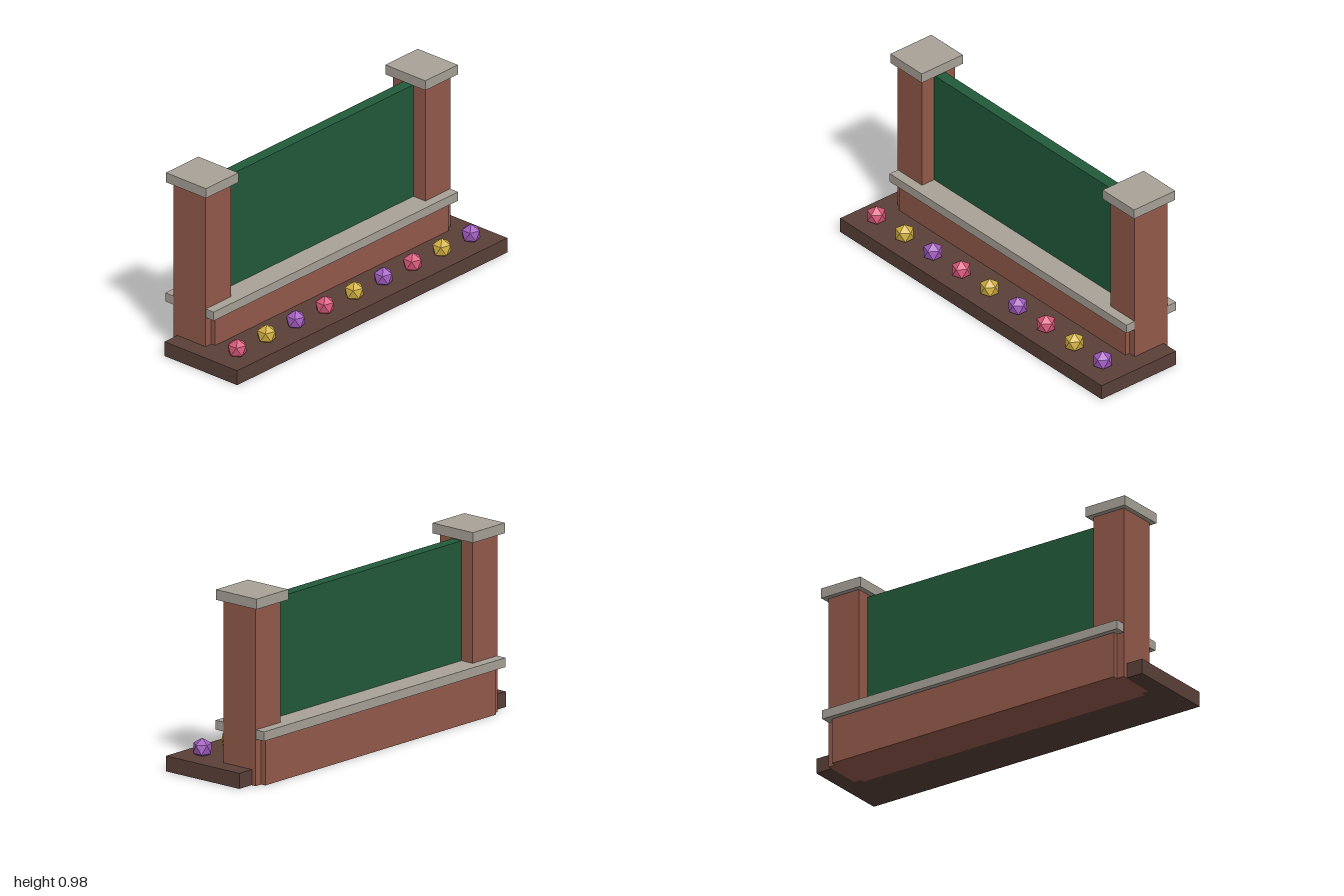
import * as THREE from 'three';

const mat = (name, color) => Object.assign(new THREE.MeshStandardMaterial({ color }), { name });

export function createModel() {
  const brick = mat('brick red', 0x935a4a);
  const stone = mat('pale stone', 0xa8a298);
  const soil = mat('dark soil', 0x5a4039);
  const green = mat('panel green', 0x215a3a);
  const petals = [mat('pink', 0xd8587a), mat('yellow', 0xd2b042), mat('purple', 0xa25cc0)];

  const model = new THREE.Group();
  model.name = 'gardenSign';

  // Box given by its low and high limits on each axis
  const box = (name, material, [x0, x1], [y0, y1], [z0, z1]) => {
    const mesh = new THREE.Mesh(new THREE.BoxGeometry(x1 - x0, y1 - y0, z1 - z0), material);
    mesh.position.set((x0 + x1) / 2, (y0 + y1) / 2, (z0 + z1) / 2);
    mesh.name = name;
    model.add(mesh);
  };

  // Planting bed, low wall, coping and sign panel
  box('plantingBed', soil, [-1, 1], [0.001, 0.081], [-0.202, 0.283]);
  box('lowWall', brick, [-0.865, 0.865], [0, 0.242], [-0.255, 0.013]);
  box('wallCoping', stone, [-0.905, 0.905], [0.242, 0.29], [-0.283, 0.04]);
  box('signPanel', green, [-0.73, 0.73], [0.28, 0.908], [-0.154, -0.092]);

  // Pillars with stone caps
  for (const side of [-1, 1]) {
    const label = side > 0 ? 'left' : 'right';
    const span = (a, b) => (side > 0 ? [a, b] : [-b, -a]);
    box(label + 'Pillar', brick, span(0.72, 0.906), [0, 0.924], [-0.228, -0.013]);
    box(label + 'PillarCap', stone, span(0.692, 0.932), [0.922, 0.975], [-0.255, 0.013]);
  }

  // Row of faceted flowers, each with one corner pointing straight up
  const bloom = new THREE.IcosahedronGeometry(0.053, 0);
  bloom.rotateZ(-Math.atan(2 / (1 + Math.sqrt(5))));
  bloom.computeVertexNormals();
  for (let i = 0; i < 9; i++) {
    const flower = new THREE.Mesh(bloom, petals[i % 3]);
    flower.position.set((i - 4) * 0.2163, 0.115, 0.162);
    flower.name = 'flower' + (i + 1);
    model.add(flower);
  }
  return model;
}
